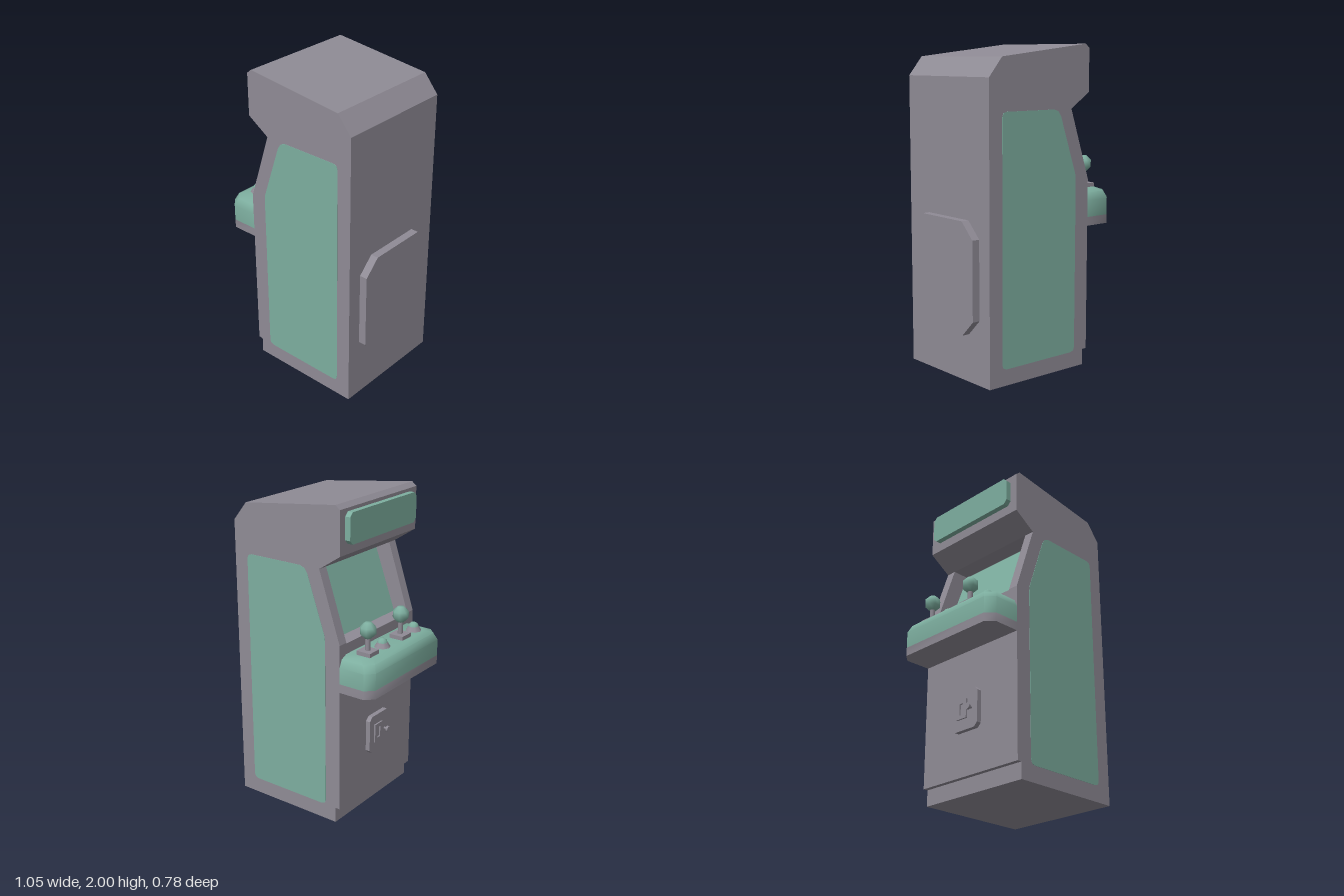
import * as THREE from 'three';
import { toCreasedNormals } from 'three/addons/utils/BufferGeometryUtils.js';

export function createModel() {
  const model = new THREE.Group();
  const grey = new THREE.MeshStandardMaterial({ color: 0x8f8b95 });
  grey.name = 'cabinet grey';
  const green = new THREE.MeshStandardMaterial({ color: 0x7dae9f });
  green.name = 'trim green';

  const add = (name, geometry, material, x = 0, y = 0, z = 0, parent = model) => {
    const mesh = new THREE.Mesh(geometry, material);
    mesh.name = name;
    mesh.position.set(x, y, z);
    parent.add(mesh);
    return mesh;
  };
  const toShape = (pts) => new THREE.Shape(pts.map((p) => new THREE.Vector2(p[0], p[1])));

  // Side profile extruded across z, from z0 to z1
  const slab = (pts, z0, z1) => new THREE.ExtrudeGeometry(toShape(pts),
    { depth: z1 - z0, bevelEnabled: false }).translate(0, 0, z0);

  // Rectangle with cut corners, given in (z, y)
  const cutRect = (z0, z1, y0, y1, c) => [
    [z0 + c, y0], [z1 - c, y0], [z1, y0 + c], [z1, y1 - c],
    [z1 - c, y1], [z0 + c, y1], [z0, y1 - c], [z0, y0 + c]];

  // Plate facing -x, starting at x and growing forward by depth
  const plate = (shape, depth, x) => new THREE.ExtrudeGeometry(shape,
    { depth, bevelEnabled: false }).rotateY(-Math.PI / 2).translate(x, 0, 0);

  // Cabinet: two full side panels around a core with the recessed screen bay
  const lower = [[-0.305, 0.1], [-0.275, 0.1], [-0.275, 0], [0.475, 0], [0.475, 1.81],
    [0.38, 1.925], [-0.275, 2], [-0.305, 1.975], [-0.305, 1.71], [-0.16, 1.615]];
  const sideProfile = [...lower, [-0.305, 1.18]];
  const coreProfile = [...lower, [-0.04, 1.615], [-0.2, 1.175], [-0.305, 1.175]];
  const art = [[-0.2, 0.13], [-0.192, 0.108], [-0.17, 0.1], [0.35, 0.1], [0.372, 0.108],
    [0.38, 0.13], [0.38, 1.585], [0.372, 1.607], [0.35, 1.615], [-0.02, 1.615],
    [-0.053, 1.603], [-0.075, 1.57], [-0.195, 1.22], [-0.2, 1.18]];
  add('cabinetCore', slab(coreProfile, -0.325, 0.325), grey);
  for (const s of [-1, 1]) {
    const [a, b] = s < 0 ? [-0.39, -0.325] : [0.325, 0.39];
    add('sidePanel', slab(sideProfile, a, b), grey);
    add('sideArt', slab(art, -0.0015, 0.0015), green, 0, 0, s * 0.3905);
  }
  add('screen', slab([[-0.2, 1.175], [-0.04, 1.615], [-0.046, 1.615], [-0.206, 1.175]],
    -0.325, 0.325), green);

  // Marquee and rear service hatch
  add('marquee', plate(toShape(cutRect(-0.34, 0.34, 1.77, 1.955, 0.025)), 0.035, -0.305), green);
  add('rearHatch', plate(toShape(cutRect(-0.295, 0.295, 0.295, 0.98, 0.1)), 0.05, 0.525), grey);

  // Control deck: stacked outlines, each inset towards the rounded top
  const outline = (inset, y) => {
    const x = -0.525 + inset, z = 0.39 - inset, c = 0.05;
    return [[-0.305, y, -z], [x + c, y, -z], [x, y, -z + c],
      [x, y, z - c], [x + c, y, z], [-0.305, y, z]];
  };
  const stack = (rings) => {
    const out = [], n = rings[0].length;
    const tri = (...v) => v.forEach((p) => out.push(...p));
    for (let r = 0; r < rings.length - 1; r++) {
      for (let i = 0; i < n; i++) {
        const j = (i + 1) % n, lo = rings[r], hi = rings[r + 1];
        tri(lo[i], hi[j], hi[i]);
        tri(lo[i], lo[j], hi[j]);
      }
    }
    const top = rings[rings.length - 1], bottom = rings[0];
    for (let i = 1; i < n - 1; i++) {
      tri(top[0], top[i], top[i + 1]);
      tri(bottom[0], bottom[i + 1], bottom[i]);
    }
    // The outline runs clockwise from above, so reverse each triangle if needed
    const g = new THREE.BufferGeometry();
    g.setAttribute('position', new THREE.Float32BufferAttribute(out, 3));
    return toCreasedNormals(g, 0.9);
  };
  add('deckBase', stack([outline(0, 0.885), outline(0, 0.94)]), grey);
  add('deckTop', stack([outline(0, 0.94), outline(0, 1.045), outline(0.02, 1.09),
    outline(0.065, 1.11)]), green);

  // Joysticks and buttons for two players
  const lathe = (pts) => new THREE.LatheGeometry(
    pts.map((p) => new THREE.Vector2(p[0], p[1])), 8);
  const ballProfile = [-90, -67.5, -22.5, 22.5, 67.5, 90].map((d) => {
    const a = THREE.MathUtils.degToRad(d);
    return [Math.abs(d) === 90 ? 0 : 0.053 * Math.cos(a), 0.053 * Math.sin(Math.sign(a)
      * Math.min(Math.abs(a), Math.PI * 0.375))];
  });
  for (const z of [-0.25, 0.095]) {
    const stick = new THREE.Group();
    stick.name = 'joystick';
    stick.position.set(-0.405, 1.11, z);
    model.add(stick);
    add('joystickBase', new THREE.BoxGeometry(0.095, 0.025, 0.095), grey, 0, 0.0125, 0, stick);
    add('joystickShaft', new THREE.CylinderGeometry(0.016, 0.016, 0.09, 8), grey, 0, 0.065, 0, stick);
    add('joystickBall', lathe(ballProfile).rotateY(Math.PI / 8), green, 0, 0.148, 0, stick);

    const button = new THREE.Group();
    button.name = 'button';
    button.position.set(-0.405, 1.11, z + 0.15);
    model.add(button);
    add('buttonCollar', new THREE.CylinderGeometry(0.032, 0.05, 0.028, 8), grey, 0, 0.014, 0, button);
    add('buttonCap', lathe([[0.032, 0.026], [0.027, 0.042], [0.015, 0.051], [0, 0.053]]),
      green, 0, 0, 0, button);
  }

  // Coin door with a framed slot and a knob
  add('coinDoor', plate(toShape(cutRect(-0.115, 0.095, 0.37, 0.62, 0.025)), 0.03, -0.305), grey);
  const slotFrame = toShape([[-0.07, 0.44], [0.01, 0.44], [0.01, 0.56], [-0.07, 0.56]]);
  slotFrame.holes.push(new THREE.Path([[-0.045, 0.465], [-0.045, 0.535], [-0.015, 0.535],
    [-0.015, 0.465]].map((p) => new THREE.Vector2(p[0], p[1]))));
  add('coinSlotFrame', plate(slotFrame, 0.01, -0.335), grey);
  const knobStem = new THREE.CylinderGeometry(0.008, 0.008, 0.03, 8).rotateZ(Math.PI / 2);
  add('coinKnobStem', knobStem, grey, -0.348, 0.495, 0.045);
  const knob = new THREE.CylinderGeometry(0.02, 0.02, 0.014, 8).rotateZ(Math.PI / 2);
  add('coinKnob', knob, grey, -0.363, 0.495, 0.045);

  return model;
}
